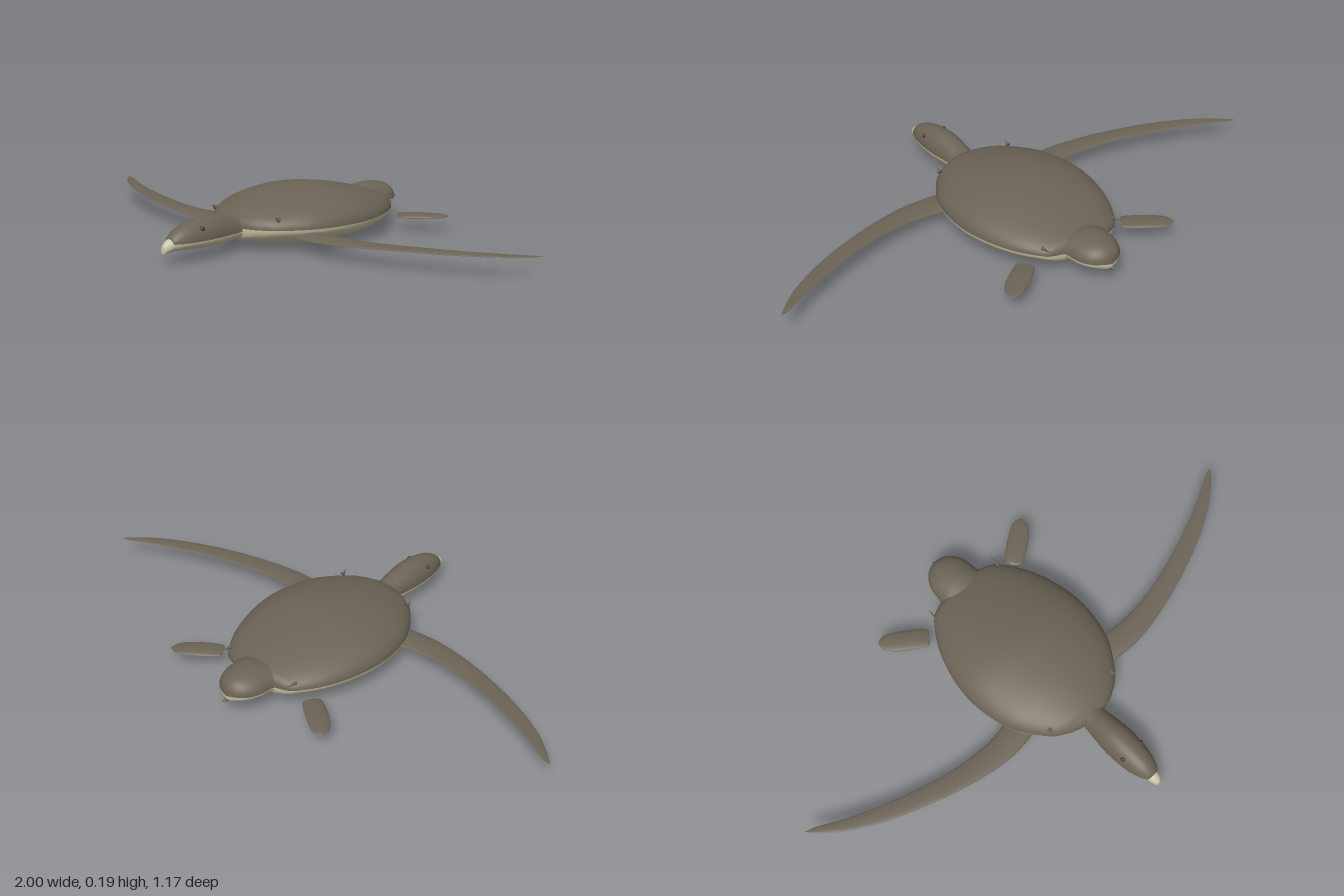
import * as THREE from 'three';

const mat = (name, color) => {
  const m = new THREE.MeshStandardMaterial({ color });
  m.name = name;
  return m;
};

// Smooth surface from a rule (u, v) -> [x, y, z]
function grid(nu, nv, fn) {
  const pos = [], idx = [];
  for (let i = 0; i <= nu; i++)
    for (let j = 0; j <= nv; j++) pos.push(...fn(i / nu, j / nv));
  for (let i = 0; i < nu; i++)
    for (let j = 0; j < nv; j++) {
      const a = i * (nv + 1) + j, b = a + nv + 1;
      idx.push(a, b, a + 1, b, b + 1, a + 1);
    }
  const g = new THREE.BufferGeometry();
  g.setAttribute('position', new THREE.Float32BufferAttribute(pos, 3));
  g.setIndex(idx);
  g.computeVertexNormals();
  return g;
}

// Spline through table rows; returns u -> row
function sampler(rows) {
  const cols = rows[0].map((_, c) => new THREE.SplineCurve(rows.map((r, i) => new THREE.Vector2(i, r[c]))));
  return u => cols.map(c => c.getPoint(u).y);
}

// Upper or lower half of a body; rows front to back: z, half width, top, bottom, seam
function bodyHalf(rows, upper) {
  const at = sampler(rows);
  return grid(rows.length * 5, 32, (u, v) => {
    const [z, w, top, bot, seam] = at(u);
    const a = (upper ? v : v + 1) * Math.PI, s = Math.sin(a);
    return [Math.max(w, 0) * Math.cos(a), Math.max(0, seam + s * (upper ? top - seam : seam - bot)), z];
  });
}

// Upper or lower half of a flipper; rows root to tip: x, leading z, trailing z, y, half thickness
function flipperHalf(rows, side, upper) {
  const at = sampler(rows);
  return grid(rows.length * 5, 12, (u, v) => {
    const [x, lead, trail, y, t] = at(u);
    const w = side > 0 ? v : 1 - v; // reversed on the mirrored side to keep faces outward
    const a = (upper ? w : w + 1) * Math.PI;
    return [x * side, y + t * Math.sin(a), (lead + trail) / 2 + (lead - trail) / 2 * Math.cos(a)];
  });
}

const SHELL = [
  [0.272, 0, 0.095, 0.06, 0.08], [0.26, 0.06, 0.108, 0.042, 0.08], [0.24, 0.11, 0.122, 0.032, 0.08],
  [0.2, 0.165, 0.141, 0.022, 0.08], [0.1, 0.235, 0.168, 0.008, 0.08], [0, 0.265, 0.182, 0.002, 0.08],
  [-0.1, 0.272, 0.187, 0, 0.08], [-0.2, 0.257, 0.176, 0.008, 0.08], [-0.3, 0.222, 0.156, 0.018, 0.08],
  [-0.38, 0.172, 0.135, 0.028, 0.08], [-0.42, 0.125, 0.12, 0.034, 0.08], [-0.45, 0, 0.09, 0.06, 0.08],
];
const HEAD = [
  [0.56, 0, 0.07, 0.07, 0.07], [0.55, 0.024, 0.092, 0.046, 0.07], [0.52, 0.041, 0.114, 0.042, 0.07],
  [0.48, 0.052, 0.128, 0.04, 0.07], [0.43, 0.058, 0.137, 0.036, 0.07], [0.37, 0.059, 0.14, 0.034, 0.07],
  [0.31, 0.053, 0.13, 0.036, 0.07], [0.26, 0.049, 0.118, 0.038, 0.07], [0.2, 0.06, 0.115, 0.03, 0.07],
];
const BEAK = [
  [0.585, 0, 0.05, 0.04, 0.045], [0.582, 0.01, 0.066, 0.036, 0.05], [0.57, 0.017, 0.077, 0.039, 0.056],
  [0.553, 0.023, 0.086, 0.043, 0.062], [0.535, 0.025, 0.088, 0.046, 0.066],
];
const TAIL = [
  [-0.36, 0.11, 0.12, 0.026, 0.08], [-0.4, 0.1, 0.131, 0.03, 0.08], [-0.44, 0.09, 0.139, 0.036, 0.08],
  [-0.49, 0.084, 0.137, 0.042, 0.08], [-0.53, 0.065, 0.128, 0.048, 0.08], [-0.555, 0.035, 0.108, 0.053, 0.08],
  [-0.565, 0, 0.08, 0.06, 0.075],
];
const FRONT = [
  [0.19, 0.15, 0.05, 0.056, 0.013], [0.26, 0.159, 0.058, 0.056, 0.013], [0.35, 0.158, 0.066, 0.058, 0.01],
  [0.48, 0.134, 0.054, 0.062, 0.007], [0.62, 0.092, 0.02, 0.066, 0.006], [0.76, 0.037, -0.028, 0.068, 0.005],
  [0.88, -0.028, -0.08, 0.07, 0.004], [0.96, -0.09, -0.122, 0.071, 0.003], [1, -0.132, -0.135, 0.072, 0.001],
];
const REAR = [
  [0, 0.002, -0.002, 0, 0.001], [0.004, 0.033, -0.03, 0, 0.006], [0.06, 0.04, -0.036, 0, 0.01],
  [0.12, 0.039, -0.035, 0, 0.009], [0.165, 0.026, -0.026, 0, 0.006], [0.185, 0, 0, 0, 0.001],
];

export function createModel() {
  const model = new THREE.Group();
  model.name = 'seaTurtle';
  const skin = mat('dark brown grey', 0x6b6355);
  const pale = mat('pale underside', 0xc9c1a3);
  const horn = mat('beak cream', 0xc8c0a8);
  const eye = mat('eye dark', 0x453f36);

  const add = (parent, name, geo, m) => {
    const mesh = new THREE.Mesh(geo, m);
    mesh.name = name;
    parent.add(mesh);
    return mesh;
  };

  // Body parts, dark above and pale below
  add(model, 'carapace', bodyHalf(SHELL, true), skin);
  add(model, 'plastron', bodyHalf(SHELL, false), pale);
  add(model, 'headTop', bodyHalf(HEAD, true), skin);
  add(model, 'throat', bodyHalf(HEAD, false), pale);
  add(model, 'upperBeak', bodyHalf(BEAK, true), horn);
  add(model, 'lowerBeak', bodyHalf(BEAK, false), horn);
  add(model, 'rumpTop', bodyHalf(TAIL, true), skin);
  add(model, 'rumpUnderside', bodyHalf(TAIL, false), pale);

  // Pointed tail tip
  const tip = add(model, 'tailTip', new THREE.ConeGeometry(0.014, 0.04, 12), skin);
  tip.position.set(0, 0.06, -0.563);
  tip.rotation.x = -Math.PI / 2;

  for (const side of [1, -1]) {
    const label = side > 0 ? 'left' : 'right';

    // Long front flipper
    const front = new THREE.Group();
    front.name = label + 'FrontFlipper';
    add(front, 'flipperTop', flipperHalf(FRONT, side, true), skin);
    add(front, 'flipperUnderside', flipperHalf(FRONT, side, false), pale);
    model.add(front);

    // Short paddle set diagonally behind the shell
    const rear = new THREE.Group();
    rear.name = label + 'RearFlipper';
    add(rear, 'paddleTop', flipperHalf(REAR, side, true), skin);
    add(rear, 'paddleUnderside', flipperHalf(REAR, side, false), pale);
    rear.position.set(side * 0.208, 0.053, -0.373);
    rear.rotation.y = side * 0.63;
    model.add(rear);

    add(model, label + 'Eye', new THREE.SphereGeometry(0.009, 16, 12), eye)
      .position.set(side * 0.043, 0.109, 0.445);

    // Small points on the shell rim
    const shoulder = add(model, label + 'ShoulderPoint', new THREE.ConeGeometry(0.009, 0.024, 10), skin);
    shoulder.position.set(side * 0.154, 0.122, 0.203);
    shoulder.rotation.x = 1;
    const hip = add(model, label + 'HipPoint', new THREE.ConeGeometry(0.006, 0.05, 8), skin);
    hip.position.set(side * 0.152, 0.108, -0.41);
    hip.rotation.x = -1.4;
  }
  return model;
}
